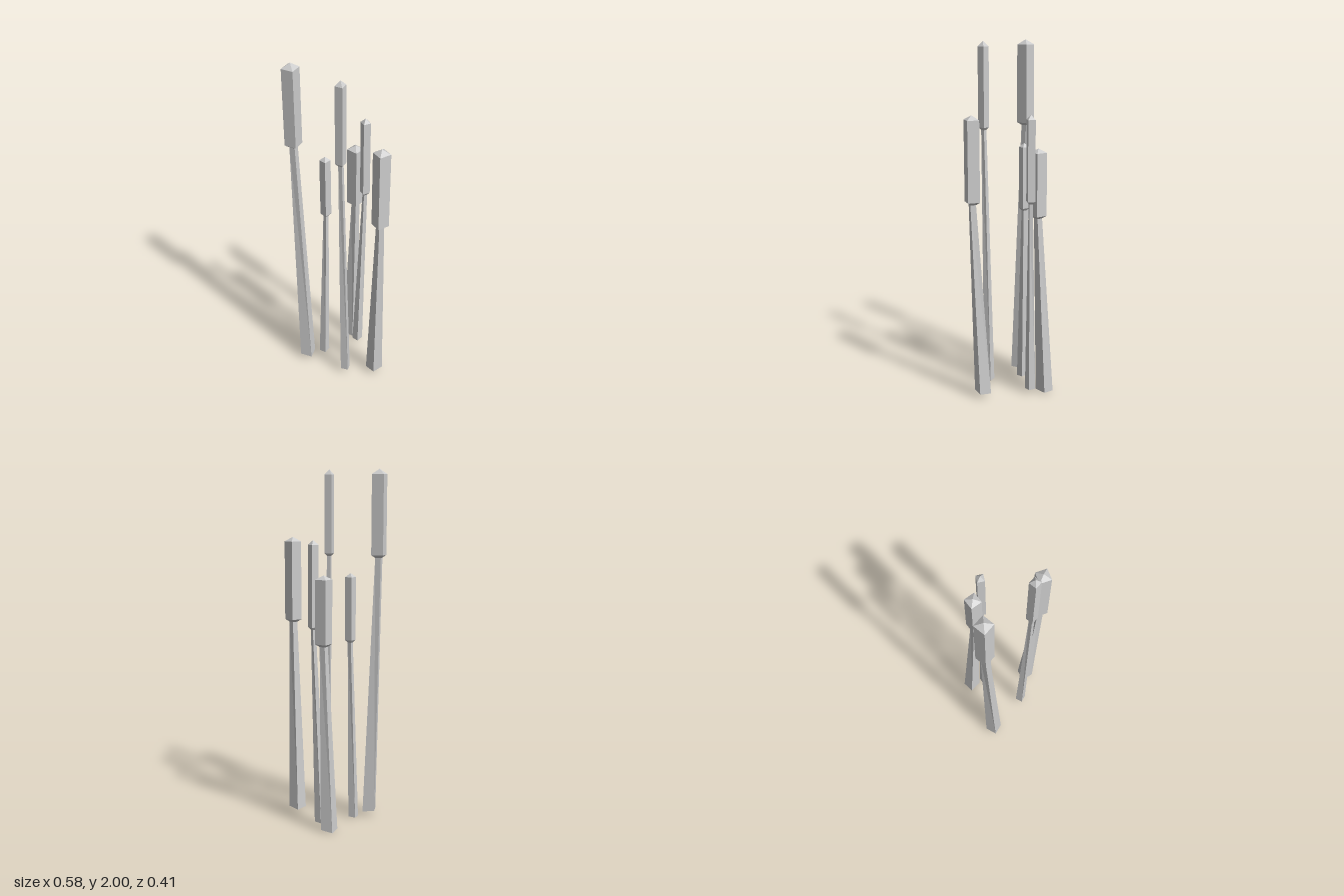
import * as THREE from 'three';

const material = new THREE.MeshStandardMaterial({ color: 0xcccccc, flatShading: true });

// Square cross-section: centre, side, turn in degrees, optional slope [dy/dx, dy/dz]
function square({ x, y, z, side, turn, slope = [0, 0] }) {
  return [0, 1, 2, 3].map((i) => {
    const a = THREE.MathUtils.degToRad(turn + 45 + i * 90);
    const dx = Math.cos(a) * side * Math.SQRT1_2;
    const dz = Math.sin(a) * side * Math.SQRT1_2;
    return new THREE.Vector3(x + dx, y + dx * slope[0] + dz * slope[1], z + dz);
  });
}

// Joins square sections from bottom to top; a section of side 0 makes a point
function loft(name, sections) {
  const rings = sections.map(square);
  const points = [];
  const [p, q, r, s] = rings[0];
  points.push(p, q, r, p, r, s);
  for (let k = 0; k < rings.length - 1; k++) {
    const low = rings[k], high = rings[k + 1];
    for (let i = 0; i < 4; i++) {
      const j = (i + 1) % 4;
      points.push(low[i], high[j], low[j]);
      if (sections[k + 1].side > 0) points.push(low[i], high[i], high[j]);
    }
  }
  if (sections[sections.length - 1].side > 0) {
    const [a, b, c, d] = rings[rings.length - 1];
    points.push(a, c, b, a, d, c);
  }
  const geometry = new THREE.BufferGeometry().setFromPoints(points);
  geometry.computeVertexNormals();
  const mesh = new THREE.Mesh(geometry, material);
  mesh.name = name;
  return mesh;
}

// One reed: leaning tapered stem and an upright seed head with a pointed top
function reed({ base, head, top }) {
  const [bx, by, bz, bSide, bTurn] = base;
  const [x, z, side, turn] = head;
  const [neckY, bottomY, shoulderY, tipY] = top;
  const foot = {
    x: bx, y: by, z: bz, side: bSide, turn: bTurn,
    slope: [(x - bx) * 2.5, (z - bz) * 2.5],
  };
  const at = (y, s) => ({ x, y, z, side: s, turn });
  const neck = at(neckY, side * 0.48);
  const group = new THREE.Group();
  group.name = 'reed';
  group.add(
    loft('stem', [foot, neck]),
    loft('seedHead', [neck, at(bottomY, side), at(shoulderY, side), at(tipY, 0)]),
  );
  return group;
}

// Heights of neck, head bottom, shoulder and tip
const TALL = [1.515, 1.53, 1.972, 2.0];
const MEDIUM = [1.135, 1.15, 1.598, 1.623];
const SHORT = [1.045, 1.06, 1.413, 1.435];

// base: x, y, z, side, turn; head: x, z, side, turn
const REEDS = [
  { base: [-0.211, 0.03, 0.143, 0.069, -11], head: [-0.257, 0.134, 0.068, 0], top: TALL },
  { base: [0.057, 0.029, 0.15, 0.044, -12], head: [0.052, 0.181, 0.043, 0], top: TALL },
  { base: [0.21, 0.026, 0.063, 0.069, 22], head: [0.243, 0.098, 0.067, 30], top: MEDIUM },
  { base: [0.001, 0.024, -0.117, 0.043, 16], head: [0.03, -0.139, 0.041, 37], top: MEDIUM },
  { base: [-0.071, 0.006, -0.165, 0.07, 5], head: [-0.031, -0.142, 0.067, 13], top: SHORT },
  { base: [-0.14, 0.01, 0.06, 0.043, 5], head: [-0.125, 0.035, 0.043, 16], top: SHORT },
];

export function createModel() {
  const model = new THREE.Group();
  model.name = 'reeds';
  for (const spec of REEDS) model.add(reed(spec));
  return model;
}
